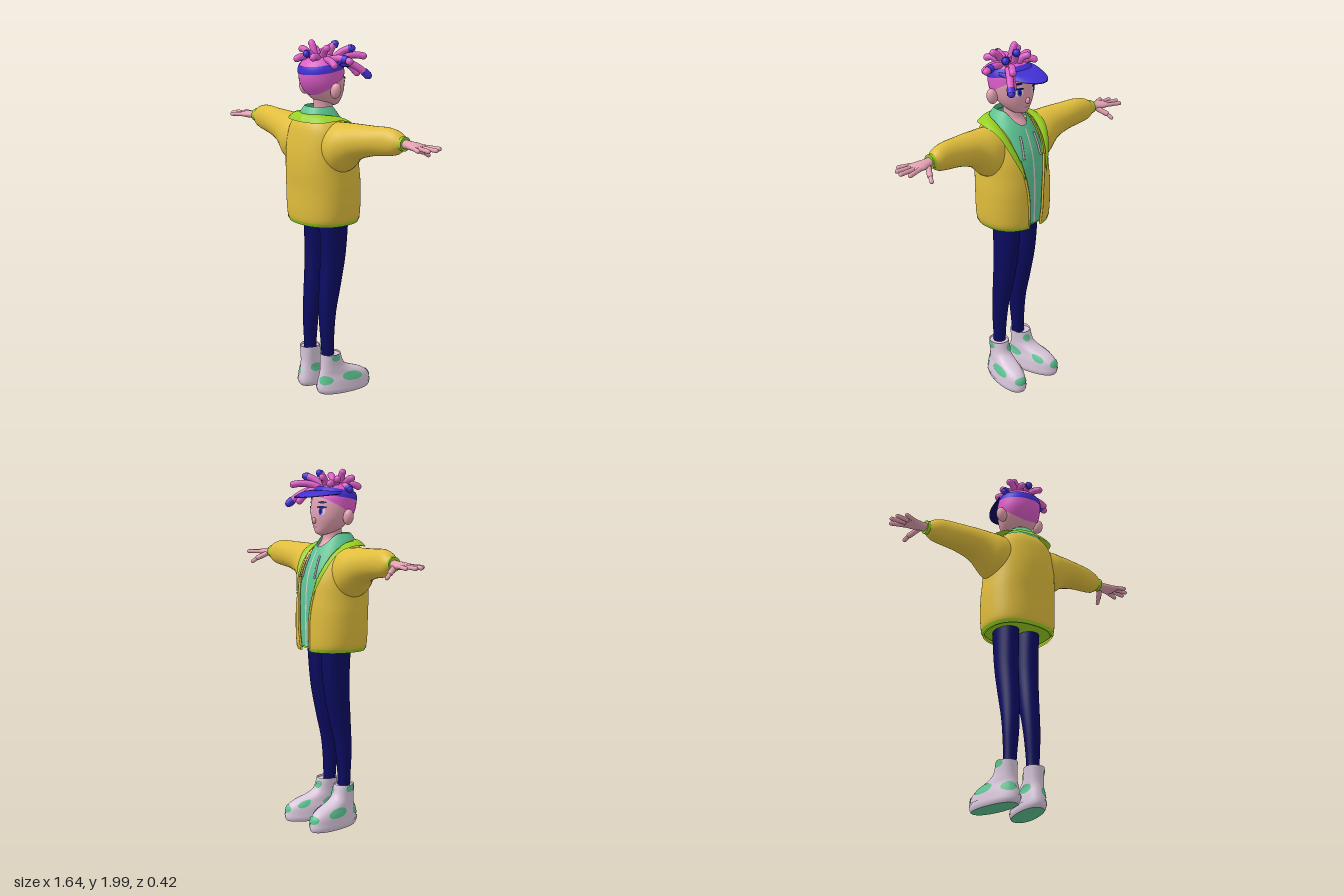
import * as THREE from 'three';
import { mergeVertices } from 'three/addons/utils/BufferGeometryUtils.js';

const V = (x, y, z) => new THREE.Vector3(x, y, z);
const { sin, cos, PI, abs, sign, pow, asin, min } = Math;
const lerp = THREE.MathUtils.lerp;

// Smooth interpolation of every column of a table sorted by its first column
function spline(rows) {
  const slope = (i, k) => {
    const a = rows[Math.max(i - 1, 0)], b = rows[min(i + 1, rows.length - 1)];
    return ((b[k] ?? 0) - (a[k] ?? 0)) / (b[0] - a[0]);
  };
  return s => {
    let i = 0;
    while (i < rows.length - 2 && s > rows[i + 1][0]) i++;
    const a = rows[i], b = rows[i + 1], h = b[0] - a[0], t = THREE.MathUtils.clamp((s - a[0]) / h, 0, 1);
    const t2 = t * t, t3 = t2 * t;
    return [0, 1, 2, 3, 4].map(k => (2 * t3 - 3 * t2 + 1) * (a[k] ?? 0) + (t3 - 2 * t2 + t) * h * slope(i, k)
      + (3 * t2 - 2 * t3) * (b[k] ?? 0) + (t3 - t2) * h * slope(i + 1, k));
  };
}

// Rounded body from rows [y, half width, front z, back z, centre x]; angle 0 is the face side (-z)
function body(rows, e = 1) {
  const at = spline(rows), p = n => sign(n) * pow(abs(n), e);
  const S = (t, y, o = 0) => {
    const [, rx, zf, zb, xc] = at(y);
    return V(xc + (rx + o) * p(sin(t)), y + o * 0.3, (zf + zb) / 2 - ((zb - zf) / 2 + o) * p(cos(t)));
  };
  S.angle = (x, y) => asin(pow(min(x / at(y)[1], 0.97), 1 / e));
  return S;
}

// Surface from a function of u and v
function patch(fn, nu = 40, nv = 24) {
  const pos = [], idx = [], w = nu + 1;
  for (let j = 0; j <= nv; j++) for (let i = 0; i <= nu; i++) pos.push(...fn(i / nu, j / nv).toArray());
  for (let j = 0; j < nv; j++) for (let i = 0; i < nu; i++) {
    const a = j * w + i;
    idx.push(a, a + w, a + 1, a + 1, a + w, a + w + 1);
  }
  let g = new THREE.BufferGeometry();
  g.setAttribute('position', new THREE.Float32BufferAttribute(pos, 3));
  g.setIndex(idx);
  g = mergeVertices(g, 1e-5);
  g.computeVertexNormals();
  return g;
}
const shell = (S, y0, y1, o = 0) => patch((u, v) => S(u * 2 * PI, lerp(y0, y1, v), o));
const spot = (S, t, y, rt, ry, o = 0.004) =>
  patch((u, v) => S(t + rt * v * cos(2 * PI * u), y - ry * v * sin(2 * PI * u), o), 20, 4);
const floor = (S, y, x, z, o = 0) => patch((u, v) => V(x, y, z).lerp(S(2 * PI * u, y, o).setY(y), v), 40, 2);

function createModel() {
  const model = new THREE.Group();
  const mat = (name, color) => new THREE.MeshStandardMaterial({ name, color, side: THREE.DoubleSide });
  const mustard = mat('mustard', 0xe0bd3c), lime = mat('lime', 0x98d022), mint = mat('mint', 0x5cc492),
    lavender = mat('lavender', 0xd8c6da), navy = mat('navy', 0x0b0b62), violet = mat('violet blue', 0x4330d6),
    pink = mat('hair pink', 0xdc5cc8), skin = mat('skin', 0xe2a0b0), lip = mat('lip', 0xb4687c), white = mat('eye white', 0xeeeaf4);
  const add = (parent, name, geo, m) => {
    const mesh = new THREE.Mesh(geo, m);
    mesh.name = name;
    parent.add(mesh);
    return mesh;
  };
  const group = (name, parent = model) => {
    const g = new THREE.Group();
    g.name = name;
    parent.add(g);
    return g;
  };
  const align = (mesh, a, b) => {
    mesh.position.copy(a).add(b).multiplyScalar(0.5);
    mesh.quaternion.setFromUnitVectors(V(0, 1, 0), b.clone().sub(a).normalize());
    return mesh;
  };
  const capsule = (p, name, a, b, r, m) => align(add(p, name, new THREE.CapsuleGeometry(r, a.distanceTo(b), 6, 14), m), a, b);
  const rod = (p, name, a, b, r, m) => align(add(p, name, new THREE.CylinderGeometry(r, r, a.distanceTo(b), 18), m), a, b);
  const ball = (p, name, c, s, m) => {
    const b = add(p, name, new THREE.SphereGeometry(1, 20, 14), m);
    b.position.copy(c);
    b.scale.copy(s);
    return b;
  };

  // Jacket, open at the chest
  const jacket = group('jacket');
  const J = body([[0.99, 0.185, -0.15, 0.185], [1.03, 0.204, -0.16, 0.198], [1.2, 0.21, -0.162, 0.204], [1.3, 0.204, -0.155, 0.21],
    [1.4, 0.2, -0.14, 0.206], [1.5, 0.185, -0.1, 0.19], [1.55, 0.16, -0.065, 0.175], [1.58, 0.13, -0.03, 0.155]], 0.85);
  const opening = spline([[0.99, 0.045], [1.2, 0.055], [1.35, 0.08], [1.45, 0.1], [1.58, 0.12]]);
  const open = (y0, y1, o = 0) => patch((u, v) => {
    const y = lerp(y0, y1, v), g = J.angle(opening(y)[1], y);
    return J(lerp(g, 2 * PI - g, u), y, o);
  }, 64, 30);
  add(jacket, 'jacketBody', open(1.0, 1.58), mustard);
  add(jacket, 'jacketLining', open(1.0, 1.57, -0.008), lime);
  add(jacket, 'jacketHem', open(0.995, 1.015, 0.003), lime);
  add(jacket, 'jacketFloor', floor(J, 1.012, 0, 0.03, -0.012), lime);

  // Collar edges, from the nape down to the lapel tip
  const inner = new THREE.CatmullRomCurve3([V(0, 1.605, 0.15), V(0.09, 1.605, 0.11), V(0.12, 1.585, 0.02),
    V(0.118, 1.52, -0.065), V(0.1, 1.42, -0.13), V(0.076, 1.32, -0.156)]);
  const outer = new THREE.CatmullRomCurve3([V(0, 1.565, 0.192), V(0.13, 1.568, 0.16), V(0.185, 1.578, 0.06),
    V(0.175, 1.545, -0.045), V(0.145, 1.45, -0.112), V(0.08, 1.3, -0.162)]);

  // Hooded sweater and neck
  const hoodie = group('hoodie');
  const H = body([[1.02, 0.18, -0.148, 0.18], [1.3, 0.18, -0.146, 0.18], [1.42, 0.16, -0.13, 0.18], [1.5, 0.14, -0.1, 0.165],
    [1.56, 0.12, -0.07, 0.16], [1.6, 0.102, -0.042, 0.155], [1.645, 0.072, -0.012, 0.125]], 0.9);
  add(hoodie, 'hoodieBody', patch((u, v) => {
    const t = (u - 0.5) * 2 * PI, top = 1.642 - 0.075 * Math.exp(-pow(t / 0.6, 2));
    return H(t, lerp(1.02, top, v));
  }, 56, 30), mint);
  add(hoodie, 'hoodieZip', patch((u, v) => H(lerp(-0.02, 0.02, u), lerp(1.02, 1.55, v), 0.002), 2, 24), lavender);
  const N = body([[1.53, 0.08, -0.085, 0.1], [1.57, 0.07, -0.056, 0.09], [1.61, 0.054, -0.032, 0.075], [1.7, 0.05, -0.03, 0.08]]);
  add(model, 'neck', shell(N, 1.53, 1.7), skin);

  // Sleeve rows: x, centre y, half height, centre z, half depth
  const sleeve = spline([[0.1, 1.43, 0.135, 0.045, 0.115], [0.2, 1.435, 0.135, 0.04, 0.122], [0.25, 1.457, 0.115, 0.037, 0.106],
    [0.3, 1.478, 0.096, 0.035, 0.092], [0.4, 1.496, 0.08, 0.025, 0.075], [0.5, 1.505, 0.074, 0.012, 0.06],
    [0.56, 1.505, 0.06, 0.005, 0.052], [0.59, 1.507, 0.037, 0.002, 0.038]]);
  const palm = spline([[0.59, 1.507, 0.024, 0.002, 0.026], [0.63, 1.505, 0.022, 0, 0.032], [0.68, 1.503, 0.02, 0, 0.046],
    [0.715, 1.502, 0.014, 0.004, 0.046], [0.73, 1.502, 0.003, 0.005, 0.02]]);
  const alongX = (f, x0, x1) => patch((u, v) => {
    const [, y, ry, z, rz] = f(lerp(x0, x1, v));
    return V(lerp(x0, x1, v), y + ry * cos(2 * PI * u), z - rz * sin(2 * PI * u));
  }, 32, 30);

  const L = body([[0.2, 0.036, 0.02, 0.09, 0.075], [0.26, 0.036, 0.02, 0.092, 0.074], [0.4, 0.045, 0.012, 0.1, 0.07],
    [0.5, 0.05, -0.004, 0.1, 0.067], [0.6, 0.055, -0.03, 0.096, 0.065], [0.8, 0.062, -0.07, 0.086, 0.066], [1.06, 0.067, -0.092, 0.096, 0.068]]);
  const B = body([[0, 0.066, -0.245, 0.07], [0.015, 0.073, -0.252, 0.082], [0.04, 0.072, -0.25, 0.084], [0.08, 0.067, -0.24, 0.076],
    [0.112, 0.059, -0.2, 0.068], [0.14, 0.055, -0.125, 0.062], [0.17, 0.052, -0.08, 0.06], [0.235, 0.054, -0.056, 0.06]], 0.9);

  for (const s of [1, -1]) {
    const side = group(s > 0 ? 'leftSide' : 'rightSide');
    side.scale.x = s;
    // Jacket trim
    add(side, 'collar', patch((u, v) => inner.getPoint(u).lerp(outer.getPoint(u), v).add(V(0, 0.012 * sin(PI * v), 0)), 40, 8), lime);
    const edge = [1.0, 1.1, 1.2, 1.3, 1.4].map(y => J(J.angle(opening(y)[1], y), y));
    add(side, 'jacketEdge', new THREE.TubeGeometry(new THREE.CatmullRomCurve3(edge), 30, 0.007, 8), mustard);
    add(side, 'drawCord', new THREE.TubeGeometry(new THREE.CatmullRomCurve3([1.52, 1.47, 1.4].map(y => H(0.33, y, 0.006))), 14, 0.0055, 8), lavender);
    // Arm and hand
    add(side, 'sleeve', alongX(sleeve, 0.1, 0.59), mustard);
    rod(side, 'cuff', V(0.575, 1.507, 0.002), V(0.608, 1.507, 0.002), 0.038, lime);
    const hand = group('hand', side);
    add(hand, 'palm', alongX(palm, 0.59, 0.73), skin);
    [[-0.034, 0.785, -0.06], [-0.01, 0.807, -0.014], [0.015, 0.795, 0.03], [0.038, 0.757, 0.066]].forEach(([z0, x, z]) =>
      capsule(hand, 'finger', V(0.695, 1.503, z0), V(x, 1.5, z), 0.0115, skin));
    capsule(hand, 'thumb', V(0.635, 1.495, -0.02), V(0.665, 1.468, -0.068), 0.015, skin);
    capsule(hand, 'thumbTip', V(0.665, 1.468, -0.068), V(0.678, 1.447, -0.096), 0.011, skin);
    // Leg and boot
    add(side, 'trouserLeg', shell(L, 0.2, 1.06), navy);
    const boot = group('boot', side);
    boot.position.set(0.088, 0, 0.045);
    boot.rotation.y = -0.21;
    add(boot, 'bootUpper', shell(B, 0, 0.235), lavender);
    add(boot, 'bootSole', floor(B, 0, 0, -0.08), mint);
    add(boot, 'soleRim', shell(B, 0.03, 0.04, 0.004), lavender);
    add(boot, 'bootTop', floor(B, 0.225, 0, 0, -0.003), lavender);
    [[0, 0.068, 0.5, 0.022], [1.35, 0.095, 0.4, 0.026], [-1.0, 0.1, 0.26, 0.022], [2.6, 0.085, 0.45, 0.026], [-2.1, 0.11, 0.4, 0.025],
      [1.5, 0.215, 0.4, 0.02], [-0.5, 0.2, 0.4, 0.022]].forEach(([t, y, rt, ry]) => add(boot, 'bootPatch', spot(B, t, y, rt, ry), mint));
  }

  // Head
  const head = group('head');
  const F = body([[1.63, 0.004, -0.055, -0.045], [1.634, 0.025, -0.07, -0.01], [1.65, 0.052, -0.08, 0.04], [1.68, 0.083, -0.086, 0.085],
    [1.72, 0.106, -0.093, 0.122], [1.76, 0.117, -0.094, 0.145], [1.8, 0.12, -0.091, 0.154], [1.85, 0.115, -0.078, 0.15],
    [1.89, 0.088, -0.048, 0.12], [1.91, 0.05, -0.005, 0.08], [1.918, 0.004, 0.03, 0.04]]);
  add(head, 'face', shell(F, 1.63, 1.918), skin);
  add(head, 'hairCap', patch((u, v) => F(2 * PI * u, lerp(1.77 + 0.07 * cos(2 * PI * u), 1.918, v), 0.005)), pink);
  ball(head, 'nose', V(0, 1.712, -0.093), V(0.013, 0.017, 0.014), skin);
  add(head, 'mouth', spot(F, 0, 1.676, 0.2, 0.003, 0.002), lip);
  for (const s of [1, -1]) {
    ball(head, 'ear', V(s * 0.128, 1.732, 0.045), V(0.03, 0.044, 0.028), skin).rotation.z = -s * 0.25;
    add(head, 'eye', spot(F, s * 0.46, 1.762, 0.21, 0.021, 0.002), white);
    add(head, 'iris', spot(F, s * 0.44, 1.762, 0.11, 0.02, 0.004), violet);
    add(head, 'pupil', spot(F, s * 0.44, 1.763, 0.06, 0.012, 0.005), navy);
    add(head, 'lash', spot(F, s * 0.49, 1.783, 0.26, 0.006, 0.006), navy);
    add(head, 'brow', spot(F, s * 0.48, 1.81, 0.22, 0.006, 0.004), navy);
  }

  // Sun visor
  const visor = group('visor');
  const bandY = t => 1.855 + 0.02 * cos(t);
  add(visor, 'headband', patch((u, v) => F(2 * PI * u, bandY(2 * PI * u) + lerp(-0.022, 0.02, v), 0.009), 48, 6), violet);
  const brim = drop => patch((u, v) => {
    const t = lerp(-1.35, 1.35, u), T = t * PI / 2.7;
    const rim = V(0.122 * sin(T), 1.86 - 0.02 * cos(T), -0.21 * cos(T));
    return F(t, bandY(t), 0.006).lerp(rim, v).add(V(0, 0.012 * sin(PI * v) - drop, 0));
  }, 32, 10);
  add(visor, 'brimTop', brim(0), violet);
  add(visor, 'brimUnderside', brim(0.006), navy);

  // Locks: root, tip, cuff position along the lock (0 for none)
  const hair = group('locks');
  [[-0.02, 0.06, -0.05, 1.972, 0.06, 0], [0.05, 0, 0.135, 1.95, -0.065, 0.94], [0.05, 0.03, 0.2, 1.89, 0.01, 0.8],
    [0.08, -0.03, 0.175, 1.8, -0.15, 0.94], [0.05, -0.02, 0.15, 1.905, -0.135, 0], [-0.04, 0.05, -0.12, 1.88, 0.06, 0.9],
    [0, 0.08, 0, 1.925, 0.14, 0.92], [-0.03, 0.08, -0.06, 1.895, 0.155, 0], [0.03, 0.08, 0.065, 1.91, 0.15, 0],
    [-0.04, 0.02, -0.09, 1.935, 0, 0], [0.01, 0, 0.03, 1.968, -0.04, 0.9], [-0.04, 0, -0.09, 1.91, -0.05, 0],
    [0.03, 0.06, 0.09, 1.955, 0.075, 0], [-0.04, 0.07, -0.1, 1.94, 0.085, 0], [0.05, 0.06, 0.15, 1.87, 0.075, 0],
    [0.06, -0.03, 0.125, 1.815, -0.11, 0], [0, -0.01, -0.03, 1.945, -0.06, 0]].forEach(([x0, z0, x, y, z, cuff]) => {
    const a = V(x0, 1.885, z0), b = V(x, y, z);
    const mid = a.clone().lerp(b, 0.5).add(V(0, 0.03, 0));
    const curve = new THREE.QuadraticBezierCurve3(a, mid, b);
    add(hair, 'lock', new THREE.TubeGeometry(curve, 12, 0.019, 12), pink);
    ball(hair, 'lockTip', b, V(0.019, 0.019, 0.019), cuff > 0.85 ? violet : pink);
    if (cuff) rod(hair, 'lockCuff', curve.getPoint(cuff - 0.1), curve.getPoint(min(cuff + 0.1, 1)), 0.022, violet);
  });
  return model;
}

export { createModel };
